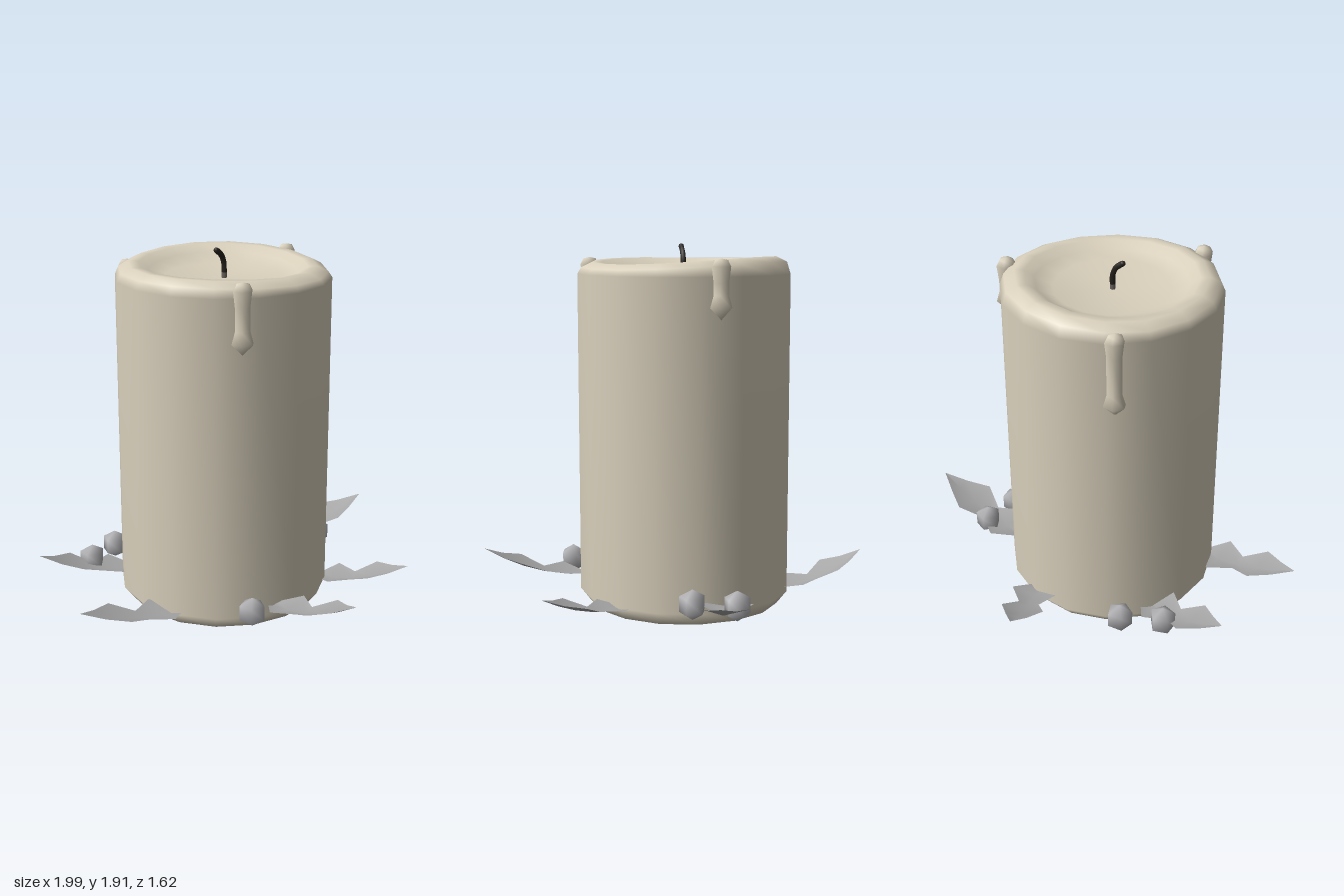
import * as THREE from 'three';
import { mergeVertices } from 'three/addons/utils/BufferGeometryUtils.js';

const mat = (name, color, side = THREE.FrontSide) => {
  const m = new THREE.MeshStandardMaterial({ color, side });
  m.name = name;
  return m;
};

// Rebuild smooth normals across seams
function smooth(geo) {
  geo.deleteAttribute('uv');
  geo.deleteAttribute('normal');
  const g = mergeVertices(geo, 1e-4);
  g.computeVertexNormals();
  return g;
}

const lathe = (pts, sides) =>
  new THREE.LatheGeometry(pts.map(([r, y]) => new THREE.Vector2(r, y)), sides);

// Candle body with a slightly uneven melted rim
function candleGeometry() {
  const geo = lathe([
    [0, 0], [0.51, 0], [0.565, 0.07], [0.565, 1.76], [0.545, 1.805], [0.49, 1.832],
    [0.44, 1.83], [0.39, 1.795], [0.3, 1.768], [0, 1.75],
  ], 16);
  const p = geo.attributes.position;
  for (let i = 0; i < p.count; i++) {
    const x = p.getX(i), y = p.getY(i), z = p.getZ(i), r = Math.hypot(x, z);
    if (y < 1.78 || r < 0.35) continue;
    const c = x / r, s = z / r;
    p.setY(i, y + 0.001 - 0.01 * s - 0.0075 * c - 0.009 * (c * c - s * s));
  }
  return smooth(geo);
}

// Wax drip: rounded top, thin run, bulb and pointed end
function dripGeometry(length) {
  return smooth(lathe([
    [0, -length], [0.06, -length + 0.06], [0.042, -length + 0.12],
    [0.042, -0.12], [0.052, -0.04], [0.035, -0.008], [0, 0],
  ], 6));
}

// Spiky leaf folded along its midrib: cross-sections of left, middle, right
const leafSections = [ // distance, half width, edge lift
  [0, 0.035, 0.01], [0.09, 0.13, 0.035], [0.2, 0.057, 0.015],
  [0.31, 0.118, 0.035], [0.41, 0.06, 0.015], [0.51, 0, 0],
];
function leafGeometry(rise) {
  const pos = [], idx = [];
  for (const [u, w, lift] of leafSections) {
    const y = rise * (u / 0.51) ** 2;
    pos.push(u, y + lift, -w, u, y, 0, u, y + lift, w);
  }
  for (let i = 0; i < leafSections.length - 1; i++) {
    for (let j = 0; j < 2; j++) {
      const a = i * 3 + j, b = a + 1, c = a + 3, d = a + 4;
      idx.push(a, b, d);
      if (i < leafSections.length - 2) idx.push(a, d, c);
      else if (j === 1) idx.push(a, b, d);
    }
  }
  const g = new THREE.BufferGeometry();
  g.setAttribute('position', new THREE.Float32BufferAttribute(pos, 3));
  g.setIndex(idx);
  g.computeVertexNormals();
  return g;
}

export function createModel() {
  const wax = mat('cream wax', 0xd9d0bc);
  const leafMat = mat('grey leaf', 0xa6a6a6, THREE.DoubleSide);
  const berryMat = mat('pale grey berry', 0xb6b6b9);
  const charred = mat('charred wick', 0x26221e);
  const cord = mat('wick cord', 0x6b6562);

  const group = new THREE.Group();
  group.name = 'candle';
  const add = (name, geo, material, x, y, z) => {
    const m = new THREE.Mesh(geo, material);
    m.name = name;
    m.position.set(x, y, z);
    group.add(m);
    return m;
  };

  add('candleBody', candleGeometry(), wax, -0.025, 0, -0.025);

  // Wax drips: x, top, z, length
  [[0.11, 1.84, 0.52, 0.36], [-0.55, 1.81, -0.19, 0.45], [0.29, 1.85, -0.485, 0.3]]
    .forEach(([x, y, z, l], i) => add('waxDrip' + (i + 1), dripGeometry(l), wax, x, y, z));

  // Wick: pale foot, bent charred cord and rounded end
  add('wickFoot', new THREE.CylinderGeometry(0.015, 0.015, 0.04, 6), cord, -0.018, 1.76, -0.02);
  const bend = new THREE.CatmullRomCurve3([
    [-0.018, 1.778, -0.02], [-0.02, 1.83, -0.02], [-0.032, 1.872, -0.006], [-0.055, 1.9, 0.02],
  ].map((p) => new THREE.Vector3(...p)));
  add('wick', new THREE.TubeGeometry(bend, 8, 0.015, 6), charred, 0, 0, 0);
  add('wickEnd', new THREE.SphereGeometry(0.015, 6, 4), charred, -0.055, 1.9, 0.02);

  // Leaves: first-spine midpoint x, z, tip x, z, base height, tip height
  [
    [0.59, -0.02, 0.99, 0.09, 0.06, 0.2],
    [0.345, 0.505, 0.69, 0.79, 0.115, 0.29],
    [-0.305, 0.515, -0.68, 0.8, 0.07, 0.21],
    [-0.62, 0.03, -1.0, 0.235, 0.1, 0.26],
    [-0.29, -0.56, -0.62, -0.78, 0.09, 0.26],
    [0.33, -0.55, 0.75, -0.815, 0.1, 0.26],
  ].forEach(([sx, sz, tx, tz, y0, y1], i) => {
    const dx = tx - sx, dz = tz - sz, k = Math.hypot(dx, dz) / 0.42;
    const leaf = add('leaf' + (i + 1), leafGeometry(y1 - y0), leafMat,
      sx - dx * 0.09 / 0.42, y0, sz - dz * 0.09 / 0.42);
    leaf.rotation.y = -Math.atan2(dz, dx);
    leaf.scale.set(k, 1, 0.5 + k / 2);
  });

  // Berries
  const berry = smooth(new THREE.SphereGeometry(0.078, 5, 3));
  [[0.17, 0.61], [0.375, -0.65], [0.49, -0.46], [-0.66, -0.2], [-0.755, 0.005]]
    .forEach(([x, z], i) => {
      add('berry' + (i + 1), berry, berryMat, x, 0.157, z).rotation.y = Math.PI / 2 + i * 0.25;
    });

  return group;
}
